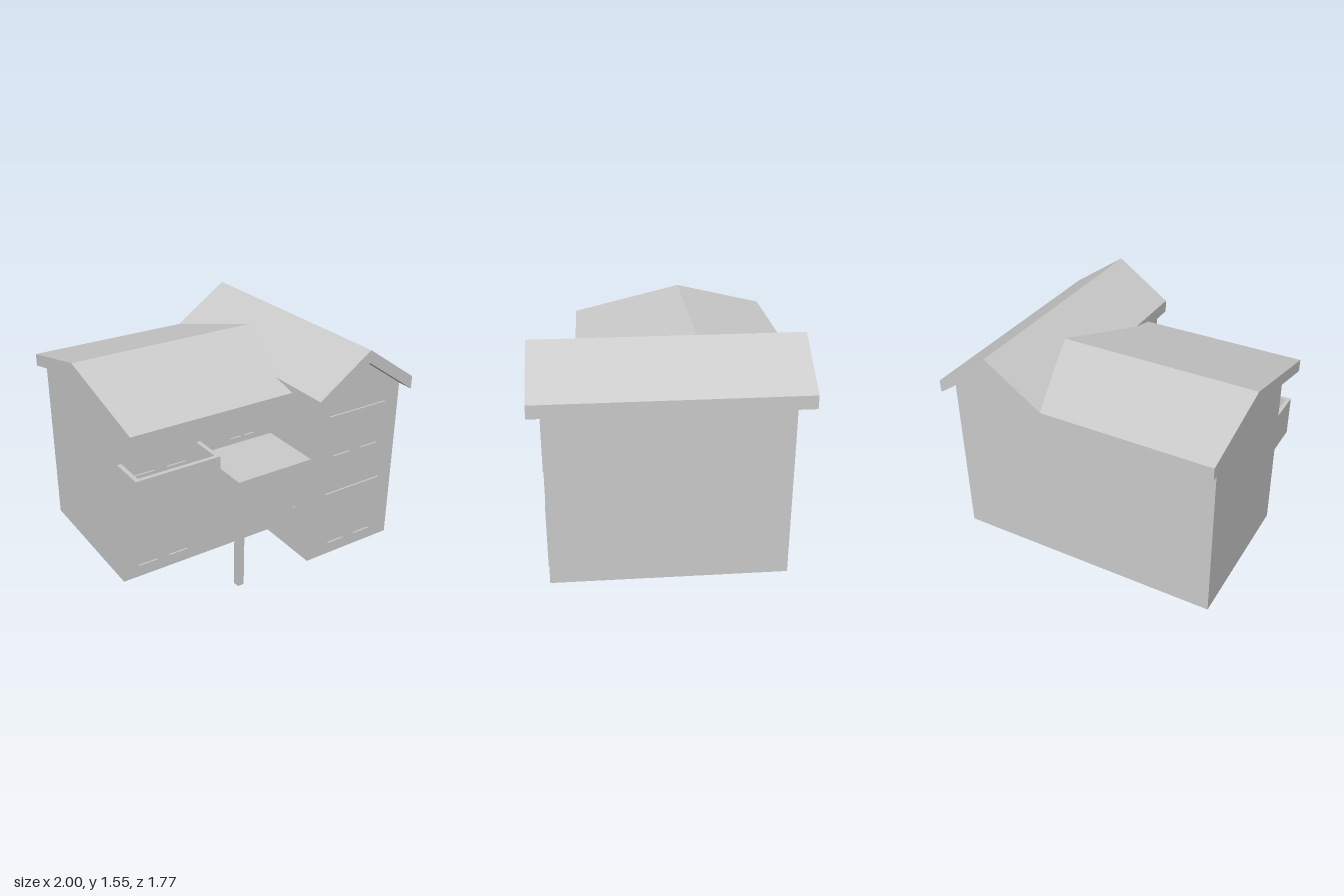
import * as THREE from 'three';

const material = new THREE.MeshStandardMaterial({ color: 0xcccccc, flatShading: true });

const polygon = (points) => new THREE.Shape(points.map(([x, y]) => new THREE.Vector2(x, y)));
const rect = (x0, x1, y0, y1) => [[x0, y0], [x1, y0], [x1, y1], [x0, y1]];

export function createModel() {
  const house = new THREE.Group();
  house.name = 'house';

  const add = (name, geometry, parent = house) => {
    const mesh = new THREE.Mesh(geometry, material);
    mesh.name = name;
    parent.add(mesh);
    return mesh;
  };

  // Box given by its limits on each axis
  const box = (name, [x0, x1], [y0, y1], [z0, z1], parent) =>
    add(name, new THREE.BoxGeometry(x1 - x0, y1 - y0, z1 - z0)
      .translate((x0 + x1) / 2, (y0 + y1) / 2, (z0 + z1) / 2), parent);

  // Outline in (x, y) extruded along z
  const extrudeZ = (shape, z0, z1) =>
    new THREE.ExtrudeGeometry(shape, { depth: z1 - z0, bevelEnabled: false }).translate(0, 0, z0);

  // Outline in (z, y) extruded along x
  const extrudeX = (points, x0, x1) =>
    extrudeZ(polygon(points.map(([z, y]) => [-z, y])), x0, x1).rotateY(Math.PI / 2);

  // Chevron roof slab: top line plus the same line lowered
  const slab = (line) => [...line, ...line.map(([a, y]) => [a, y - 0.09]).reverse()];

  // Walls
  const wallFront = 0.32, wingFront = 0.8, back = -0.77;
  add('mainWalls', extrudeX(
    [[wallFront, 0], [wallFront, 1.21], [-0.23, 1.34], [back, 1.21], [back, 0]], -0.97, 0.235));
  add('wingWalls', extrudeZ(polygon(
    [[0.235, 0], [0.965, 0], [0.965, 1.21], [0.6, 1.46], [0.235, 1.21]]), back, wingFront));

  // Wing roof, ridge running front to back
  add('wingRoof', extrudeZ(polygon(slab([[0.205, 1.28], [0.6, 1.552], [0.995, 1.28]])), -0.885, 0.885));

  // Main roof, ridge running sideways, its end drawn out to a point under the wing roof
  const mainRoof = extrudeX(slab([[0.59, 1.235], [-0.23, 1.43], [-0.885, 1.275]]), -1, 0.207);
  const pos = mainRoof.attributes.position;
  for (let i = 0; i < pos.count; i++) {
    if (pos.getX(i) > 0 && Math.abs(pos.getZ(i) + 0.23) < 0.01) pos.setX(i, 0.417);
  }
  mainRoof.computeVertexNormals();
  add('mainRoof', mainRoof);

  // Window frames with two openings each
  const windowFrame = (name, x0, x1, y0, y1, panes, z) => {
    const shape = polygon(rect(x0, x1, y0, y1));
    for (const pane of panes) shape.holes.push(polygon(rect(...pane).reverse()));
    add(name, extrudeZ(shape, z, z + 0.012));
  };
  for (const [side, x, z] of [['wing', 0.36, wingFront], ['main', -0.9, wallFront]]) {
    for (const [level, y0, y1] of [['Lower', 0.045, 0.51], ['Upper', 0.75, 1.105]]) {
      const panes = [[x + 0.045, x + 0.19, y0 + 0.05, y1 - 0.047], [x + 0.285, x + 0.43, y0 + 0.05, y1 - 0.047]];
      windowFrame(`${side}${level}Window`, x, x + 0.48, y0, y1, panes, z);
    }
  }
  windowFrame('smallWindow', -0.125, 0.095, 0.85, 1.105,
    [[-0.112, -0.025, 0.865, 1.095], [0, 0.083, 0.865, 1.095]], wallFront);

  // Balcony, open at the top
  const balcony = new THREE.Group();
  balcony.name = 'balcony';
  house.add(balcony);
  const t = 0.03, bx = [-0.97, -0.35], by = [0.62, 0.912], bz = [wallFront, 0.575];
  box('balconyFloor', [bx[0] + t, bx[1] - t], [by[0], by[0] + t], [bz[0], bz[1] - t], balcony);
  box('balconyFront', bx, by, [bz[1] - t, bz[1]], balcony);
  box('balconyRightSide', [bx[0], bx[0] + t], by, [bz[0], bz[1] - t], balcony);
  box('balconyLeftSide', [bx[1] - t, bx[1]], by, [bz[0], bz[1] - t], balcony);

  // Porch
  box('porchRoof', [-0.345, 0.235], [0.745, 0.815], [wallFront, 0.785]);
  box('porchPost', [-0.345, -0.297], [0.005, 0.745], [0.737, 0.785]);

  // Entrance door in the side of the wing, under the porch
  box('door', [0.219, 0.236], [0.03, 0.68], [0.41, 0.7]);
  box('doorHandle', [0.208, 0.22], [0.335, 0.38], [0.645, 0.665]);

  return house;
}
